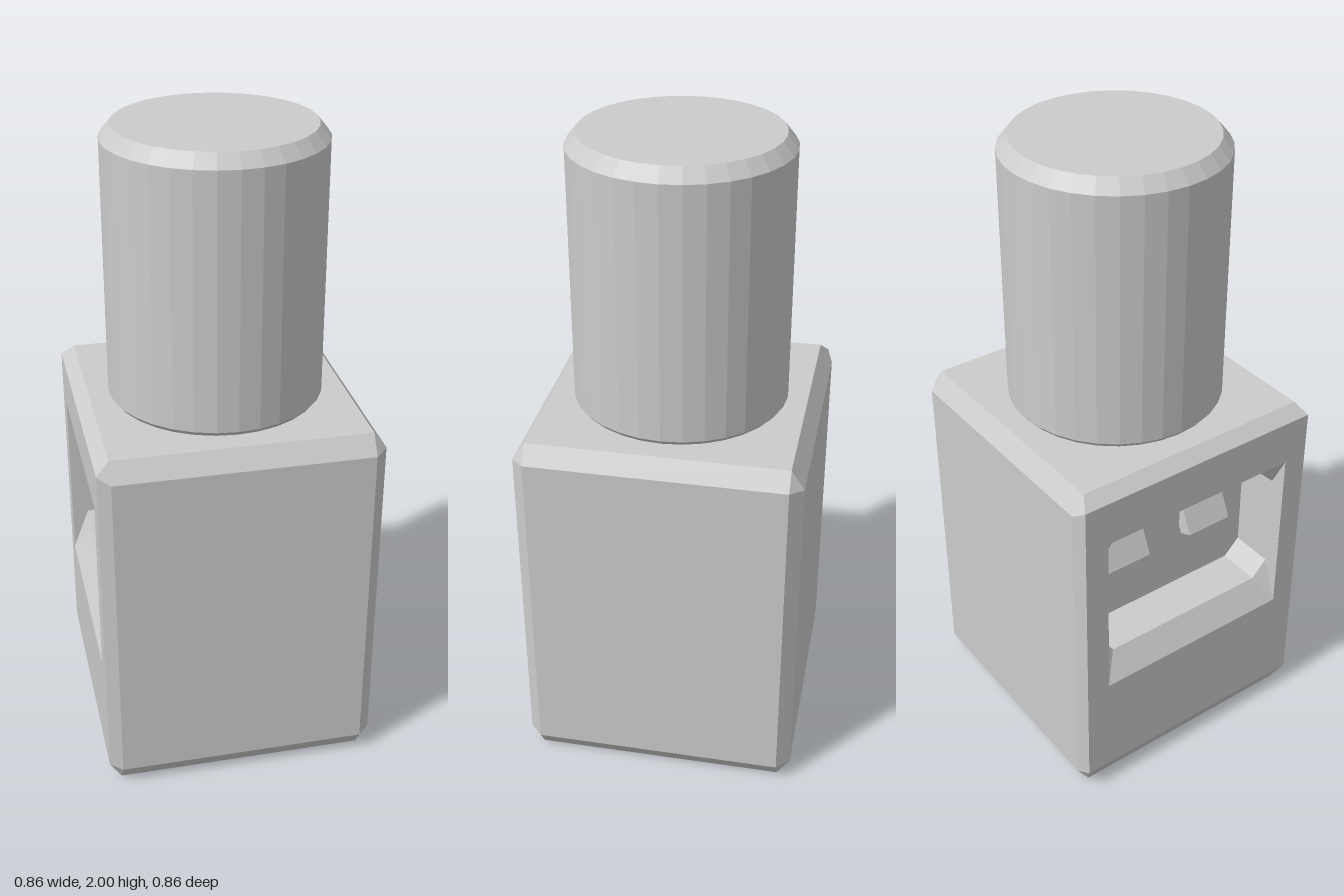
import * as THREE from 'three';

const material = new THREE.MeshStandardMaterial({ color: 0xcccccc, flatShading: true });

// Eight-point cross-section at x: a rectangle with corners cut by cz and cy
function section(x, zh, y0, y1, cz = 0, cy = 0) {
  return [
    [zh - cz, y0], [zh, y0 + cy], [zh, y1 - cy], [zh - cz, y1],
    [cz - zh, y1], [-zh, y1 - cy], [-zh, y0 + cy], [cz - zh, y0],
  ].map(([z, y]) => [x, y, z]);
}

// Joins the sections in order and caps both ends
function loft(sections) {
  const n = sections[0].length;
  const last = (sections.length - 1) * n;
  const index = [];
  for (let s = 0; s < last; s += n) {
    for (let j = 0; j < n; j++) {
      const k = (j + 1) % n;
      index.push(s + j, s + k, s + n + k, s + j, s + n + k, s + n + j);
    }
  }
  for (let j = 1; j < n - 1; j++) {
    index.push(0, j + 1, j, last, last + j, last + j + 1);
  }
  const indexed = new THREE.BufferGeometry();
  indexed.setAttribute('position', new THREE.Float32BufferAttribute(sections.flat(2), 3));
  indexed.setIndex(index);
  const geometry = indexed.toNonIndexed();
  geometry.computeVertexNormals();
  return geometry;
}

export function createModel() {
  const model = new THREE.Group();
  const add = (name, geometry) => {
    const mesh = new THREE.Mesh(geometry, material);
    mesh.name = name;
    model.add(mesh);
    return mesh;
  };

  // Bevelled housing, folding back inwards to form the socket in its -x side
  add('housing', loft([
    section(0.43, 0.39, 0.06, 1.11),
    section(0.39, 0.43, 0, 1.165, 0.04, 0.06),
    section(-0.39, 0.43, 0, 1.165, 0.04, 0.06),
    section(-0.43, 0.413, 0.075, 1.13),
    section(-0.43, 0.335, 0.42, 0.985), // socket rim
    section(-0.378, 0.335, 0.504, 0.934, 0.053, 0.053),
    section(-0.238, 0.335, 0.504, 0.934, 0.053, 0.053), // socket back
  ]));

  // Pair of slanted contacts hanging inside the socket
  for (const side of [-1, 1]) {
    const contact = add('socketContact', new THREE.BoxGeometry(0.048, 0.24, 0.158));
    contact.position.set(-0.221, 0.826, side * 0.158);
    contact.rotation.z = -0.431;
  }

  // Chamfered cylinder standing on the housing
  const profile = [[0, 1.14], [0.297, 1.14], [0.33, 1.18], [0.33, 1.96], [0.297, 2], [0, 2]];
  add('topCylinder', new THREE.LatheGeometry(profile.map(([r, y]) => new THREE.Vector2(r, y)), 32));

  return model;
}
